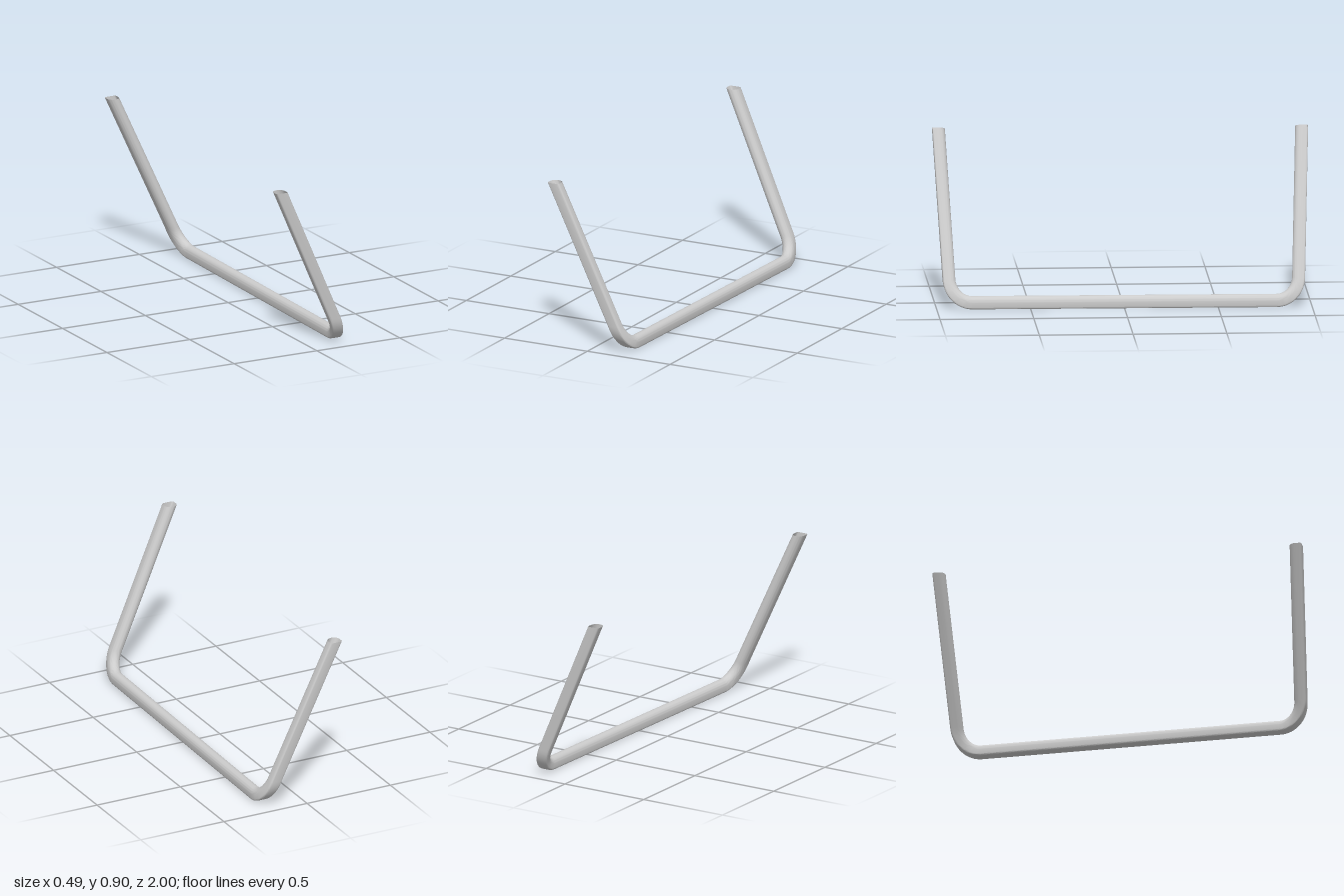
import * as THREE from 'three';
import { toCreasedNormals } from 'three/addons/utils/BufferGeometryUtils.js';

// D-shaped tube section as [across, outward]: flat outside, round inside
function tubeSection() {
  const half = 0.031, out = 0.035, r = 0.01, pts = [];
  for (let i = 0; i <= 4; i++) {
    const t = (i / 4) * Math.PI / 2;
    pts.push([half - r + r * Math.cos(t), out - r + r * Math.sin(t)]);
  }
  for (let i = 0; i <= 4; i++) {
    const t = Math.PI / 2 + (i / 4) * Math.PI / 2;
    pts.push([-half + r + r * Math.cos(t), out - r + r * Math.sin(t)]);
  }
  for (let i = 0; i <= 16; i++) {
    const t = Math.PI + (i / 16) * Math.PI;
    pts.push([half * Math.cos(t), 0.033 * Math.sin(t)]);
  }
  return pts;
}

// U-shaped centre line: position (z, y) and outward direction (nz, ny)
function framePath() {
  const side = [{ z: 0.966, y: 0.905, nz: 1, ny: 0 }];
  const bend = 0.12, start = 0.05, steps = 12;
  for (let i = 0; i <= steps; i++) {
    const t = start + (Math.PI / 2 - start) * (i / steps);
    const nz = Math.cos(t), ny = -Math.sin(t);
    side.push({ z: 0.81 + bend * nz, y: 0.155 + bend * ny, nz, ny });
  }
  const mirrored = side.map(p => ({ ...p, z: -p.z, nz: -p.nz })).reverse();
  return [...side, ...mirrored];
}

export function createModel() {
  const group = new THREE.Group();
  group.name = 'bentTubeFrame';
  const section = tubeSection(), path = framePath();
  const n = section.length, positions = [], index = [];

  // Sweep the section; the legs lean towards -x and the bar is slightly skewed
  path.forEach((p, j) => {
    const cx = 0.2 - 0.452 * (p.y - 0.035) - 0.0155 * p.z;
    const widen = 1 + 0.1 * Math.abs(p.nz);
    section.forEach(([a, b], i) => {
      positions.push(cx + a * widen, p.y + b * p.ny, p.z + b * p.nz);
      if (j === path.length - 1) return;
      const k = (i + 1) % n, r0 = j * n, r1 = r0 + n;
      index.push(r0 + i, r0 + k, r1 + i, r0 + k, r1 + k, r1 + i);
    });
  });

  const geometry = new THREE.BufferGeometry();
  geometry.setAttribute('position', new THREE.Float32BufferAttribute(positions, 3));
  geometry.setIndex(index);

  // Open-ended tube
  const tube = new THREE.Mesh(
    toCreasedNormals(geometry, 0.45),
    new THREE.MeshStandardMaterial({ color: 0xcccccc, side: THREE.DoubleSide })
  );
  tube.name = 'bentTube';
  group.add(tube);
  return group;
}
